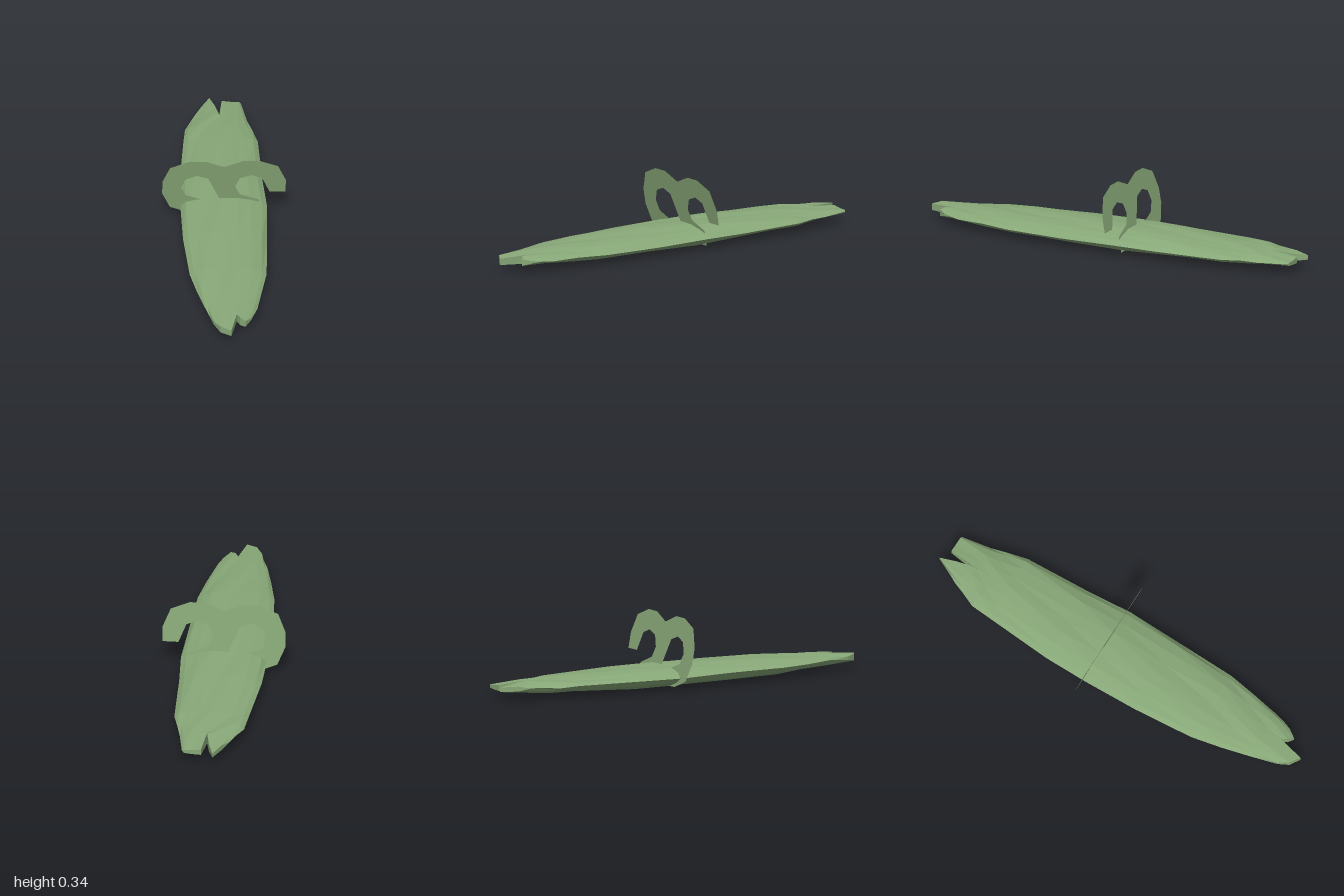
import * as THREE from 'three';

const leaf = new THREE.MeshStandardMaterial({ color: 0x88a878, flatShading: true, side: THREE.DoubleSide });

// Long flattened hull: a loft of lens-shaped sections with ragged, notched ends
function hullGeometry() {
  const cols = [-1, -0.88, -0.62, -0.3, 0, 0.3, 0.62, 0.88, 1];
  const backEnd = [[-0.11, -0.87], [-0.08, -0.92], [-0.04, -1], [-0.015, -0.92], [0.002, -0.835],
    [0.018, -0.97], [0.06, -0.97], [0.1, -0.97], [0.11, -0.965]];
  const frontEnd = [[-0.1, 0.84], [-0.08, 0.92], [-0.05, 0.97], [0, 1], [0.03, 0.87],
    [0.045, 0.9], [0.07, 0.92], [0.1, 0.88], [0.12, 0.83]];
  // z, left x, right x
  const sections = [[-0.82, -0.13, 0.135], [-0.74, -0.165, 0.155], [-0.64, -0.175, 0.18],
    [-0.3, -0.205, 0.192], [-0.08, -0.208, 0.206], [0.2, -0.205, 0.197],
    [0.5, -0.183, 0.185], [0.65, -0.153, 0.158], [0.79, -0.12, 0.132]];
  const rows = [backEnd,
    ...sections.map(([z, l, r]) => cols.map(c => [l + (r - l) * (c + 1) / 2, z])), frontEnd];
  const n = 16, pos = [], idx = [];
  rows.forEach((row, r) => {
    for (let j = 0; j < n; j++) {
      const k = j <= 8 ? j : n - j, c = cols[k], [x, z] = row[k];
      const bulge = Math.pow(1 - Math.abs(c) ** 2.4, 0.65);
      const lump = 0.003 * Math.sin(r * 2.3 + j * 1.9);
      const y = j <= 8
        ? 0.058 - 0.004 * c + 0.046 * bulge * (1 - 0.75 * z * z)
        : 0.058 - 0.054 * bulge * (1 - 0.65 * z * z);
      pos.push(x, Math.max(0, y + lump), z);
    }
  });
  for (let r = 0; r < rows.length - 1; r++) for (let j = 0; j < n; j++) {
    const a = r * n + j, b = r * n + (j + 1) % n, c = b + n, d = a + n;
    idx.push(a, d, b, b, d, c);
  }
  // End caps join the top columns to the bottom ones
  const last = (rows.length - 1) * n;
  for (let j = 0; j < 8; j++) {
    const t0 = j, t1 = j + 1, b0 = (n - j) % n, b1 = n - j - 1;
    idx.push(t0, t1, b1, t0, b1, b0);
    idx.push(last + t0, last + b1, last + t1, last + t0, last + b0, last + b1);
  }
  const g = new THREE.BufferGeometry();
  g.setAttribute('position', new THREE.Float32BufferAttribute(pos, 3));
  g.setIndex(idx);
  g.computeVertexNormals();
  return g;
}

// Flat double curl, leaning slightly forward
function curlGeometry() {
  const v = pts => pts.map(([x, y]) => new THREE.Vector2(x, y));
  const shape = new THREE.Shape(v([
    [0.295, 0.14], [0.295, 0.215], [0.258, 0.305], [0.167, 0.342], [0.09, 0.342], [0, 0.305],
    [-0.09, 0.342], [-0.167, 0.342], [-0.258, 0.305], [-0.295, 0.215], [-0.295, 0.14],
    [-0.258, 0.052], [-0.167, 0.014], [-0.09, 0.014], [0, 0.052], [0.09, 0.014], [0.167, 0.014],
    [0.167, 0.09], [0.075, 0.127], [0.053, 0.177], [0.075, 0.23], [0.13, 0.25], [0.182, 0.23],
    [0.218, 0.14]]));
  shape.holes.push(new THREE.Path(v([
    [-0.183, 0.23], [-0.13, 0.25], [-0.075, 0.23], [-0.016, 0.088], [-0.09, 0.09],
    [-0.183, 0.127], [-0.204, 0.177]])));
  const g = new THREE.ShapeGeometry(shape);
  const p = g.attributes.position;
  for (let i = 0; i < p.count; i++) p.setZ(i, -0.105 + 0.176 * p.getY(i));
  g.computeVertexNormals();
  return g;
}

export function createModel() {
  const model = new THREE.Group();
  const add = (name, geometry) => {
    const mesh = new THREE.Mesh(geometry, leaf);
    mesh.name = name;
    model.add(mesh);
  };
  add('hull', hullGeometry());
  add('curledHandle', curlGeometry());
  return model;
}
